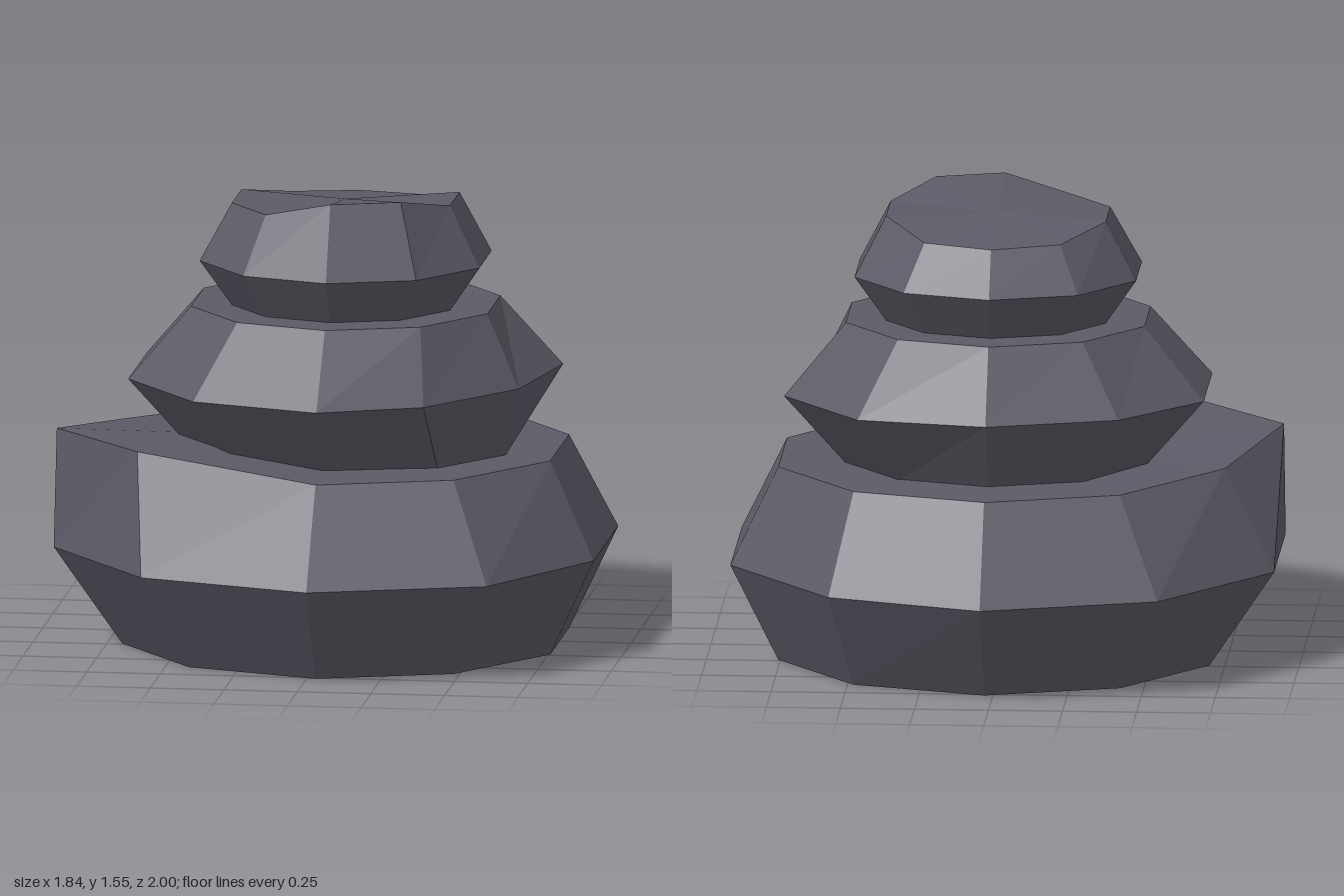
import * as THREE from 'three';

const SIDES = 10;
const CENTER_X = 0.03;

// Ten-sided ring, corner 0 at the front, counting towards +x; edits replace single corners
function ring(radius, y, edits = {}) {
  return Array.from({ length: SIDES }, (_, k) => {
    const a = (k / SIDES) * Math.PI * 2;
    const p = [CENTER_X + Math.sin(a) * radius, y, Math.cos(a) * radius];
    return edits[k] ?? p;
  });
}

// Joins rings from bottom to top and closes both ends with a fan
function stone(name, rings, material) {
  const pos = [];
  const tri = (a, b, c) => pos.push(...a, ...b, ...c);
  const middle = (r) => [0, 1, 2].map((i) => r.reduce((s, p) => s + p[i], 0) / SIDES);
  const bottom = rings[0];
  const top = rings[rings.length - 1];
  const low = middle(bottom);
  const high = middle(top);
  for (let k = 0; k < SIDES; k++) {
    const n = (k + 1) % SIDES;
    for (let i = 0; i + 1 < rings.length; i++) {
      const a = rings[i], b = rings[i + 1];
      tri(a[k], a[n], b[n]);
      tri(a[k], b[n], b[k]);
    }
    tri(low, bottom[n], bottom[k]);
    tri(high, top[k], top[n]);
  }
  const geometry = new THREE.BufferGeometry();
  geometry.setAttribute('position', new THREE.Float32BufferAttribute(pos, 3));
  geometry.computeVertexNormals();
  const mesh = new THREE.Mesh(geometry, material);
  mesh.name = name;
  return mesh;
}

export function createModel() {
  const group = new THREE.Group();
  group.name = 'stackedStones';
  const material = new THREE.MeshStandardMaterial({ color: 0x5a5b66, flatShading: true });

  // Wide base stone with a raised bulge on its right front
  group.add(stone('bottomStone', [
    ring(0.765, 0),
    ring(1, 0.34, { 2: [0.915, 0.34, 0.31], 3: [0.915, 0.34, -0.31], 4: [0.553, 0.34, -0.81] }),
    ring(0.765, 0.665, {
      7: [-0.75, 0.68, -0.24],
      8: [-0.92, 0.735, 0.24],
      9: [-0.595, 0.735, 0.62],
    }),
  ], material));

  // Middle stone with a slightly uneven waist
  group.add(stone('middleStone', [
    ring(0.53, 0.665, { 1: [0.40, 0.665, 0.43], 2: [0.595, 0.665, 0.17] }),
    ring(0.745, 0.908, {
      1: [0.375, 0.908, 0.6],
      2: [0.65, 0.908, 0.23],
      5: [0.03, 0.908, -0.69],
      6: [-0.41, 0.908, -0.55],
    }),
    ring(0.53, 1.15),
  ], material));

  // Small top stone with a tilted crown
  const crown = [1.555, 1.555, 1.51, 1.51, 1.46, 1.455, 1.46, 1.5, 1.5, 1.5];
  group.add(stone('topStone', [
    ring(0.39, 1.15),
    ring(0.5, 1.305),
    ring(0.39, 0).map(([x, , z], k) => [x, crown[k], z]),
  ], material));

  return group;
}
